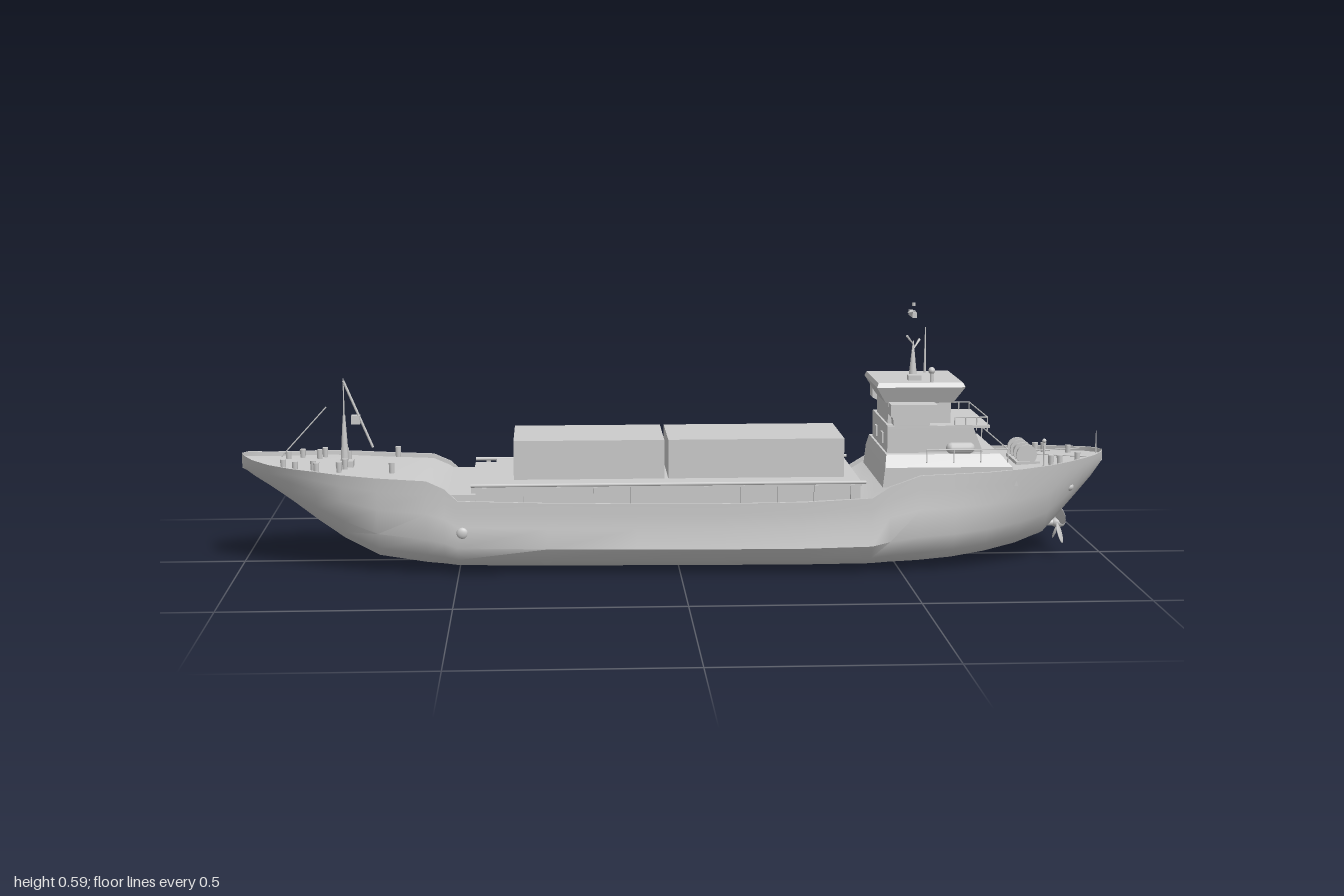
import * as THREE from 'three';
import { toCreasedNormals } from 'three/addons/utils/BufferGeometryUtils.js';
import { ConvexGeometry } from 'three/addons/geometries/ConvexGeometry.js';

const mat = new THREE.MeshStandardMaterial({ color: 0xcccccc, side: THREE.DoubleSide });
const V = (x, y, z) => new THREE.Vector3(x, y, z);

export function createModel() {
  const ship = new THREE.Group();
  ship.name = 'cargoShip';

  const add = (name, geo, x = 0, y = 0, z = 0) => {
    const m = new THREE.Mesh(geo, mat);
    m.name = name;
    m.position.set(x, y, z);
    ship.add(m);
    return m;
  };
  // box given by its limits
  const box = (name, x0, x1, y0, y1, z0, z1) =>
    add(name, new THREE.BoxGeometry(x1 - x0, y1 - y0, z1 - z0), (x0 + x1) / 2, (y0 + y1) / 2, (z0 + z1) / 2);
  // tapered block between two levels [y, x0, x1, halfWidth]
  const block = (name, ...levels) =>
    add(name, new ConvexGeometry(levels.flatMap(([y, x0, x1, h]) =>
      [V(x0, y, -h), V(x1, y, -h), V(x0, y, h), V(x1, y, h)])));
  // round bar between two points
  const rod = (name, a, b, r0 = 0.002, r1 = r0) => {
    const d = b.clone().sub(a);
    const m = add(name, new THREE.CylinderGeometry(r1, r0, d.length(), 8));
    m.position.copy(a).addScaledVector(d, 0.5);
    m.quaternion.setFromUnitVectors(V(0, 1, 0), d.normalize());
    return m;
  };

  // Hull stations: x, keel height, rim height, half width
  const stations = [
    [-1, 0.22, 0.255, 0], [-0.99, 0.215, 0.253, 0.032], [-0.97, 0.2, 0.248, 0.06], [-0.93, 0.175, 0.242, 0.093],
    [-0.88, 0.14, 0.238, 0.122], [-0.82, 0.095, 0.235, 0.15], [-0.76, 0.055, 0.23, 0.17], [-0.68, 0.016, 0.224, 0.183],
    [-0.57, 0.004, 0.218, 0.193], [-0.53, 0.003, 0.2, 0.195], [-0.5, 0.002, 0.172, 0.197], [-0.3, 0, 0.167, 0.204],
    [-0.1, 0, 0.165, 0.211], [0.1, 0, 0.165, 0.22], [0.28, 0, 0.168, 0.228], [0.43, 0, 0.175, 0.226],
    [0.47, 0, 0.2, 0.224], [0.54, 0, 0.224, 0.218], [0.62, 0.004, 0.225, 0.206], [0.7, 0.011, 0.226, 0.19],
    [0.78, 0.023, 0.229, 0.168], [0.85, 0.045, 0.233, 0.142], [0.9, 0.1, 0.237, 0.115], [0.94, 0.145, 0.24, 0.086],
    [0.97, 0.18, 0.243, 0.06], [0.99, 0.207, 0.245, 0.032], [1, 0.22, 0.246, 0]
  ];
  // Section: height fraction, width amidships, width at the ends
  const section = [[0, 0, 0], [0.1, 0.78, 0.3], [0.2, 0.9, 0.48], [0.38, 1, 0.68], [0.65, 0.965, 0.87], [0.85, 0.96, 0.95], [1, 0.96, 1]];
  const pos = [], idx = [];
  for (const [x, keel, rim, half] of stations) {
    const v = THREE.MathUtils.smoothstep(x < 0 ? -x : x, x < 0 ? 0.5 : 0.55, 1);
    const side = section.map(([t, mid, end]) => [keel + (rim - keel) * t, half * (mid + (end - mid) * v)]);
    const inner = Math.max(side[6][1] - 0.007, 0);
    side.push([rim, inner], [rim - 0.01, inner], [rim - 0.008, 0]);
    const ring = [...side, ...side.slice(1, -1).reverse().map(([y, z]) => [y, -z])];
    ring.forEach(([y, z]) => pos.push(x, y, z));
  }
  const n = pos.length / 3 / stations.length;
  for (let i = 0; i < stations.length - 1; i++)
    for (let j = 0; j < n; j++) {
      const a = i * n + j, d = i * n + (j + 1) % n;
      idx.push(a, a + n, d + n, a, d + n, d);
    }
  const hull = new THREE.BufferGeometry();
  hull.setAttribute('position', new THREE.Float32BufferAttribute(pos, 3));
  hull.setIndex(idx);
  add('hull', toCreasedNormals(hull, 0.75));

  // Cargo hold and its two covers
  box('holdStep', -0.53, -0.46, 0.14, 0.185, -0.18, 0.18);
  box('holdCoaming', -0.47, 0.41, 0.14, 0.2, -0.16, 0.16);
  box('holdDeck', -0.42, 0.41, 0.197, 0.206, -0.18, 0.18);
  box('cargoCover', -0.375, -0.033, 0.2, 0.295, -0.112, 0.112);
  box('cargoCover', -0.024, 0.378, 0.2, 0.295, -0.112, 0.112);
  for (const s of [-1, 1]) {
    rod('holdRail', V(-0.47, 0.205, s * 0.178), V(0.42, 0.205, s * 0.178), 0.004);
    for (let i = 0; i < 11; i++) {
      const x = -0.44 + i * 0.083;
      box('holdPost', x - 0.005, x + 0.005, 0.15, 0.2, s * 0.178 - 0.005, s * 0.178 + 0.005);
    }
  }

  // Deckhouse and bridge
  block('lowerHouse', [0.19, 0.46, 0.77, 0.165], [0.235, 0.465, 0.755, 0.165], [0.262, 0.47, 0.73, 0.145]);
  block('upperHouse', [0.25, 0.475, 0.7, 0.123], [0.325, 0.475, 0.67, 0.123]);
  box('houseDeck', 0.475, 0.71, 0.318, 0.324, -0.125, 0.125);
  block('bridgeTower', [0.32, 0.48, 0.625, 0.09], [0.375, 0.48, 0.625, 0.09]);
  block('bridge', [0.372, 0.475, 0.63, 0.09], [0.41, 0.452, 0.655, 0.108], [0.42, 0.456, 0.65, 0.102]);
  for (const s of [-1, 1]) {
    block('wingSupport', [0.32, 0.49, 0.57, 0.02], [0.36, 0.485, 0.58, 0.02]).position.z = s * 0.103;
    block('bridgeWing', [0.345, 0.49, 0.56, 0.023], [0.353, 0.475, 0.58, 0.023], [0.38, 0.475, 0.58, 0.023]).position.z = s * 0.152;
    box('wingWalk', 0.49, 0.57, 0.35, 0.37, s * 0.11 - 0.025, s * 0.11 + 0.025);
    box('frontWindow', 0.471, 0.476, 0.275, 0.3, s * 0.05 - 0.014, s * 0.05 + 0.014);
    // guard rails around the aft decks
    const rail = (y, x0, x1, z) => {
      rod('guardRail', V(x0, y, s * z), V(x1, y, s * z), 0.0015);
      rod('guardRail', V(x1, y, s * z), V(x1, y, 0), 0.0015);
      for (let i = 0; i < 4; i++) {
        const x = x0 + (x1 - x0) * i / 3;
        rod('railPost', V(x, y - 0.03, s * z), V(x, y, s * z), 0.0015);
      }
    };
    rail(0.275, 0.56, 0.745, 0.163);
    rail(0.342, 0.63, 0.705, 0.118);
    // life raft beside the house
    const raft = add('lifeRaft', new THREE.CapsuleGeometry(0.013, 0.04, 4, 10), 0.64, 0.275, s * 0.14);
    raft.rotation.z = Math.PI / 2;
  }

  // Bridge roof gear
  rod('mainMast', V(0.55, 0.42, 0), V(0.55, 0.505, 0), 0.01, 0.001);
  box('radarScanner', 0.543, 0.553, 0.561, 0.573, -0.035, 0.03);
  rod('yard', V(0.55, 0.575, 0.015), V(0.53, 0.576, 0.05), 0.002);
  add('mastLamp', new THREE.CylinderGeometry(0.004, 0.004, 0.008, 8), 0.55, 0.589, 0);
  rod('stay', V(0.54, 0.485, 0.045), V(0.56, 0.512, 0.03), 0.001, 0.003);
  rod('stay', V(0.56, 0.487, -0.043), V(0.54, 0.512, -0.035), 0.001, 0.003);
  rod('aerial', V(0.59, 0.42, -0.075), V(0.59, 0.527, -0.075), 0.003, 0.001);
  rod('domePost', V(0.58, 0.42, 0.086), V(0.58, 0.44, 0.086), 0.004);
  add('radioDome', new THREE.SphereGeometry(0.008, 12, 8), 0.58, 0.446, 0.086);
  box('roofLocker', 0.53, 0.56, 0.415, 0.432, 0.043, 0.066);

  // Foremast with its derrick and stays
  rod('foremast', V(-0.765, 0.215, 0), V(-0.765, 0.34, 0), 0.011, 0.003);
  rod('foremastTop', V(-0.765, 0.34, 0), V(-0.765, 0.425, 0), 0.002, 0.001);
  rod('derrick', V(-0.765, 0.42, 0), V(-0.7, 0.265, 0), 0.003);
  box('derrickBlock', -0.748, -0.728, 0.32, 0.34, -0.012, 0.012);
  rod('forestay', V(-0.91, 0.245, 0), V(-0.805, 0.36, 0), 0.0015);
  box('foremastBase', -0.785, -0.745, 0.21, 0.235, -0.018, 0.018);

  // Bollards, mirrored on both decks
  const bollards = [[-0.9, 0.055], [-0.87, 0.085], [-0.83, 0.075], [-0.82, 0.105], [-0.77, 0.095], [-0.76, 0.055], [-0.65, 0.11],
    [0.86, 0.09], [0.88, 0.09], [0.93, 0.05]];
  for (const [x, z] of bollards)
    for (const s of [-1, 1]) {
      add('bollard', new THREE.CylinderGeometry(0.007, 0.006, 0.024, 10), x, 0.236, s * z);
    }

  // Mooring winch and poles at the stern
  const drum = add('winchDrum', new THREE.CylinderGeometry(0.017, 0.017, 0.1, 16), 0.81, 0.243, 0);
  drum.rotation.x = Math.PI / 2;
  for (const z of [-0.055, -0.02, 0.02, 0.055]) {
    const flange = add('winchFlange', new THREE.CylinderGeometry(0.024, 0.024, 0.006, 16), 0.81, 0.243, z);
    flange.rotation.x = Math.PI / 2;
  }
  box('winchBase', 0.785, 0.84, 0.215, 0.228, -0.062, 0.062);
  rod('lampPost', V(0.84, 0.22, 0.104), V(0.84, 0.28, 0.104));
  add('lamp', new THREE.SphereGeometry(0.005, 10, 8), 0.84, 0.284, 0.104);
  rod('flagStaff', V(0.985, 0.235, 0), V(0.985, 0.29, 0), 0.002, 0.001);
  for (const s of [-1, 1]) rod('mooringLine', V(0.83, 0.24, s * 0.02), V(0.96, 0.238, s * 0.06), 0.0015);

  // Stern anchor and side fitting
  add('sternAnchor', new THREE.SphereGeometry(0.014, 14, 10), 0.905, 0.172, 0.076).scale.set(0.9, 0.8, 1);
  add('sideFitting', new THREE.SphereGeometry(0.013, 14, 10), -0.49, 0.1, 0.192).scale.z = 0.5;

  // Propeller
  const propeller = new THREE.Group();
  propeller.name = 'propeller';
  propeller.position.set(0.9, 0.072, 0);
  const hub = new THREE.Mesh(new THREE.SphereGeometry(0.012, 16, 12), mat);
  hub.name = 'propellerHub';
  hub.scale.x = 1.5;
  const shaft = new THREE.Mesh(new THREE.CylinderGeometry(0.008, 0.008, 0.07, 12), mat);
  shaft.name = 'propellerShaft';
  shaft.rotation.z = Math.PI / 2;
  shaft.position.x = -0.035;
  propeller.add(hub, shaft);
  for (let i = 0; i < 4; i++) {
    const pivot = new THREE.Group();
    pivot.rotation.x = Math.PI / 4 + i * Math.PI / 2;
    const blade = new THREE.Mesh(new THREE.SphereGeometry(1, 16, 10), mat);
    blade.name = 'propellerBlade';
    blade.scale.set(0.003, 0.026, 0.021);
    blade.position.y = 0.03;
    blade.rotation.y = 0.5;
    pivot.add(blade);
    propeller.add(pivot);
  }
  ship.add(propeller);
  return ship;
}
